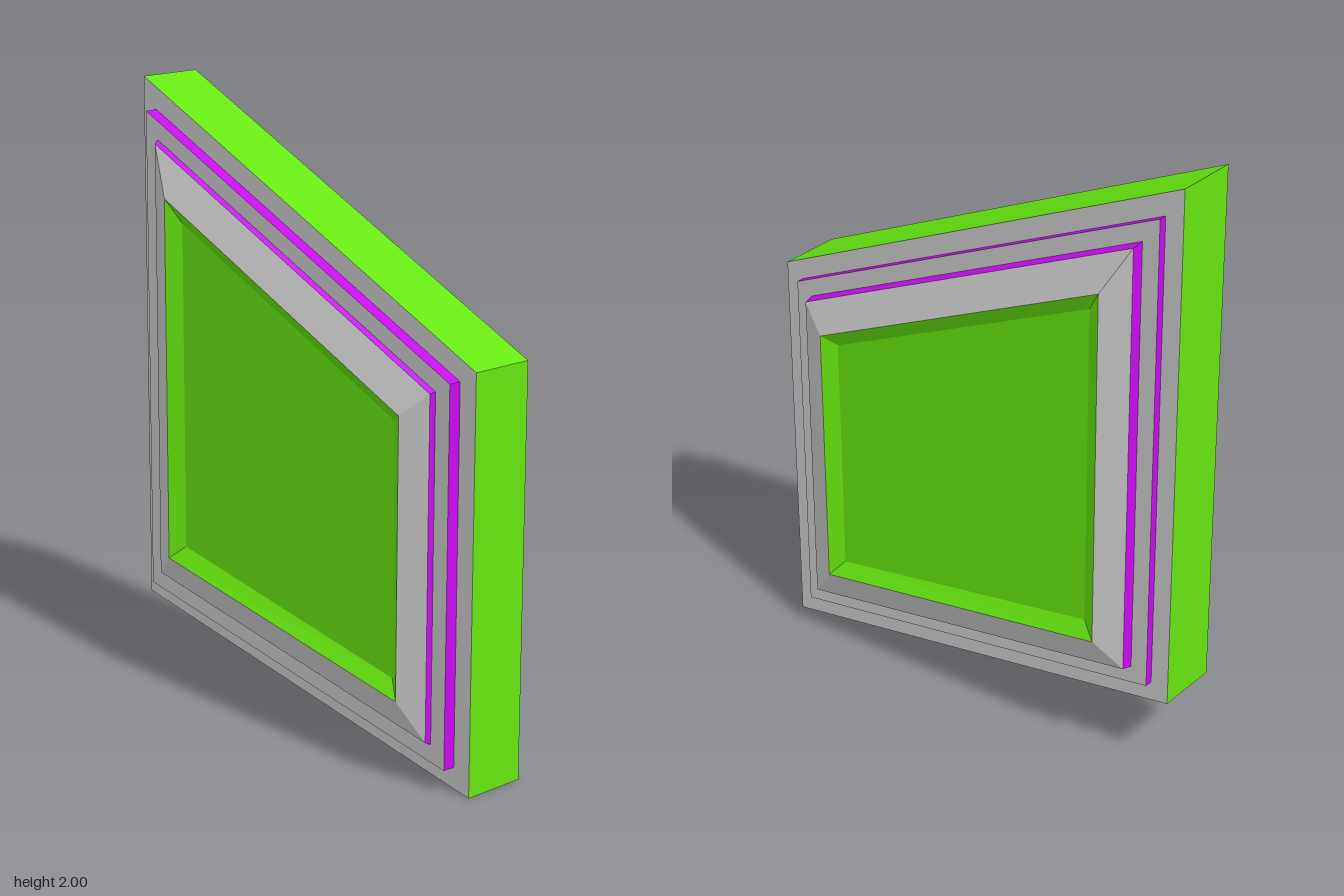
import * as THREE from 'three';

const GREY = new THREE.MeshStandardMaterial({ color: 0xcccccc, flatShading: true });
const GREEN = new THREE.MeshStandardMaterial({ color: 0x66e610, flatShading: true });
const PURPLE = new THREE.MeshStandardMaterial({ color: 0xc80cf0, flatShading: true });

// Outlines, counter-clockwise seen from the front, starting bottom left
const OUTER = [[-0.76, 0.265], [0.757, 0], [0.757, 1.315], [-0.76, 2]];
const STEP = [[-0.698, 0.32], [0.692, 0.08], [0.692, 1.276], [-0.698, 1.9]];
const LIP = [[-0.64, 0.368], [0.634, 0.147], [0.634, 1.242], [-0.64, 1.814]];
const LIP_TOP = [[-0.634, 0.374], [0.628, 0.155], [0.628, 1.237], [-0.634, 1.804]];
const RIM = [[-0.542, 0.455], [0.537, 0.27], [0.537, 1.16], [-0.542, 1.646]];
const FLOOR = [[-0.49, 0.5], [0.49, 0.325], [0.49, 1.13], [-0.49, 1.57]];

// Place an outline at depth z, with the slab's very slight lean
const ring = (outline, z) =>
  outline.map(([x, y]) => new THREE.Vector3(x, y, z + 0.005 * x - 0.004 * (y - 1)));

function facesMesh(name, quads, material, flip) {
  const points = [];
  for (const [a, b, c, d] of quads) {
    points.push(...(flip ? [a, c, b, a, d, c] : [a, b, c, a, c, d]));
  }
  const geometry = new THREE.BufferGeometry().setFromPoints(points);
  geometry.computeVertexNormals();
  const mesh = new THREE.Mesh(geometry, material);
  mesh.name = name;
  return mesh;
}

// Four quads joining an outer ring to the next ring
const band = (a, b) => a.map((p, i) => {
  const j = (i + 1) % a.length;
  return [p, a[j], b[j], b[i]];
});

// Stepped moulding, bevelled rim and sunken panel on one face
function createFace(name, side, [zBody, zStep, zLip, zRim, zFloor]) {
  const group = new THREE.Group();
  group.name = name;
  const at = (outline, z) => ring(outline, side * z);
  const parts = [
    ['border', at(OUTER, zBody), at(STEP, zBody), GREY],
    ['lowerStepEdge', at(STEP, zBody), at(STEP, zStep), PURPLE],
    ['stepSurface', at(STEP, zStep), at(LIP, zStep), GREY],
    ['upperStepEdge', at(LIP, zStep), at(LIP_TOP, zLip), PURPLE],
    ['bevelledRim', at(LIP_TOP, zLip), at(RIM, zRim), GREY],
    ['panelSlope', at(RIM, zRim), at(FLOOR, zFloor), GREEN],
  ];
  for (const [part, from, to, material] of parts) {
    group.add(facesMesh(part, band(from, to), material, side < 0));
  }
  group.add(facesMesh('panel', [at(FLOOR, zFloor)], GREEN, side < 0));
  return group;
}

export function createModel() {
  const model = new THREE.Group();
  model.name = 'slantedFrame';
  // Outer edge of the slab
  model.add(facesMesh('outerEdge', band(ring(OUTER, -0.107), ring(OUTER, 0.107)), GREEN, false));
  model.add(createFace('frontFace', 1, [0.107, 0.149, 0.166, 0.204, 0.174]));
  model.add(createFace('backFace', -1, [0.107, 0.134, 0.169, 0.206, 0.176]));
  return model;
}
